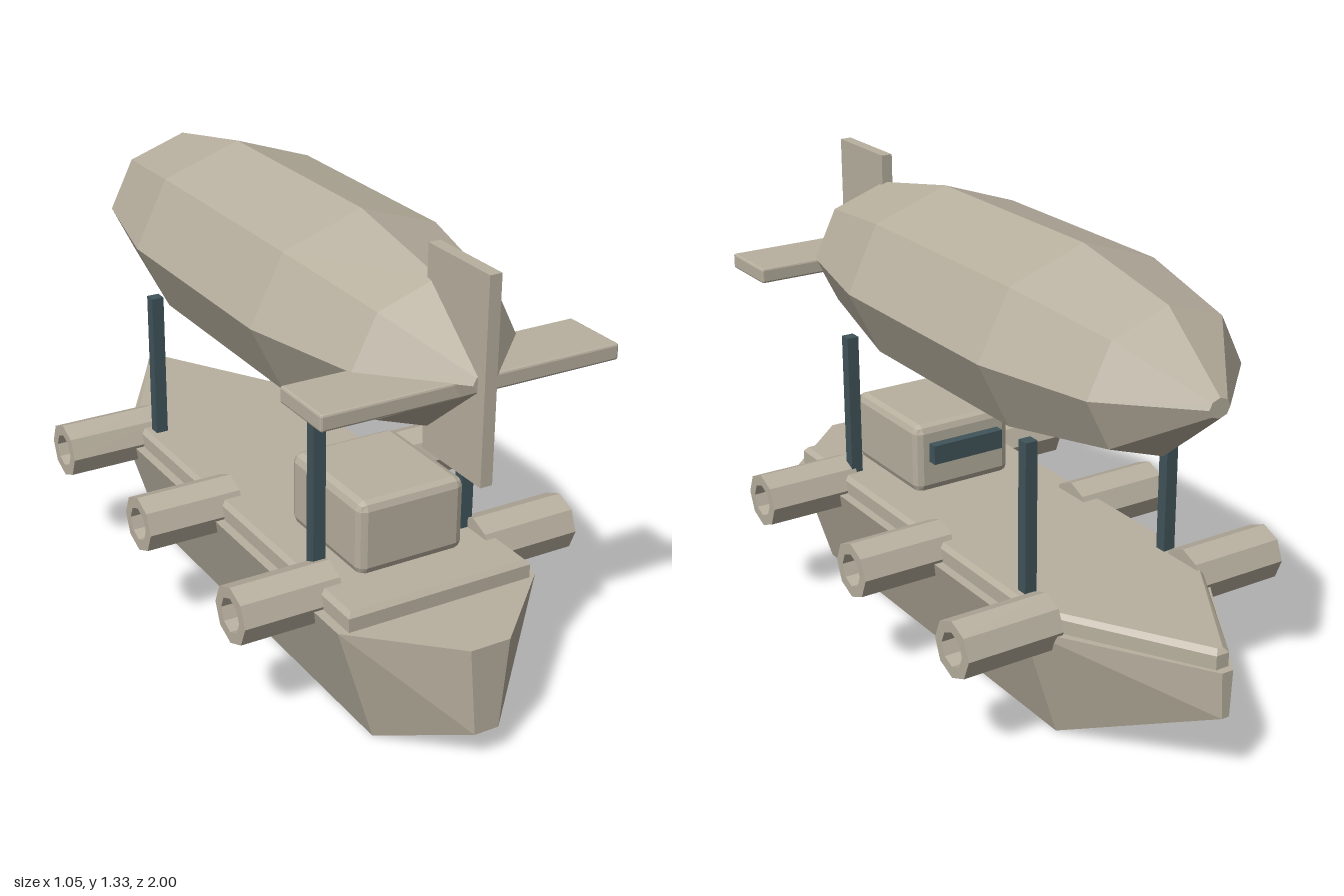
import * as THREE from 'three';
import { ConvexGeometry } from 'three/addons/geometries/ConvexGeometry.js';
import { RoundedBoxGeometry } from 'three/addons/geometries/RoundedBoxGeometry.js';

// Faceted normals for every part
function facet(geometry) {
  const g = geometry.index ? geometry.toNonIndexed() : geometry;
  g.computeVertexNormals();
  return g;
}

// Eight-sided turned solid from [radius, height] pairs
const turned = (profile) =>
  new THREE.LatheGeometry(profile.map(([r, h]) => new THREE.Vector2(r, h)), 8);

export function createModel() {
  const model = new THREE.Group();
  model.name = 'airship';
  const paint = new THREE.MeshStandardMaterial({ color: 0xb8b09f });
  paint.name = 'warm grey paint';
  const steel = new THREE.MeshStandardMaterial({ color: 0x40545a });
  steel.name = 'dark blue steel';
  const CX = -0.01; // shared centre line of hull and balloon

  function add(name, geometry, material, x = 0, y = 0, z = 0) {
    const mesh = new THREE.Mesh(facet(geometry), material);
    mesh.name = name;
    mesh.position.set(x, y, z);
    model.add(mesh);
    return mesh;
  }

  // Hull: mirrored stations [z, half width at top, half width at bottom, bottom height]
  const hull = [];
  for (const [z, top, bottom, y] of [
    [1, 0.06, 0.037, 0.09],
    [0.765, 0.31, 0.2, 0],
    [-0.53, 0.31, 0.2, 0],
    [-1, 0.018, 0.012, 0.215],
  ]) {
    for (const s of [-1, 1]) {
      hull.push(new THREE.Vector3(s * top, 0.35, z), new THREE.Vector3(s * bottom, y, z));
    }
  }
  add('hull', new ConvexGeometry(hull), paint, CX);

  // Deck: slab with a bevelled upper edge and pointed stern
  const deck = [];
  for (const [y, inset] of [[0.345, 0], [0.39, 0], [0.404, 0.012]]) {
    for (const [z, half] of [[0.775 - inset, 0.283], [-0.53, 0.283], [-0.978 + inset, 0.02]]) {
      for (const s of [-1, 1]) deck.push(new THREE.Vector3(s * (half - inset), y, z));
    }
  }
  add('deck', new ConvexGeometry(deck), paint, CX);

  // Cabin with chamfered corners and a window facing the stern
  add('cabin', new RoundedBoxGeometry(0.33, 0.217, 0.37, 1, 0.025), paint, CX, 0.508, 0.445);
  add('cabinWindow', new THREE.BoxGeometry(0.24, 0.06, 0.04), steel, CX, 0.53, 0.25);

  // Balloon
  const balloon = turned([
    [0, -0.92], [0.1, -0.92], [0.745, -0.708], [1, -0.345],
    [1, 0.345], [0.745, 0.708], [0.1, 0.92], [0, 0.92],
  ]);
  balloon.rotateX(Math.PI / 2).scale(0.33, 0.273, 1);
  add('balloon', balloon, paint, CX, 1.043, 0);

  // Tail fins
  add('verticalFin', new THREE.BoxGeometry(0.035, 0.556, 0.26), paint, -0.012, 1.056, 0.82);
  add('horizontalFin', new RoundedBoxGeometry(0.87, 0.045, 0.198, 1, 0.006), paint, CX, 1.022, 0.789);

  // Struts and cannons on both sides
  const barrel = [[0, 0], [0.083, 0], [0.083, 0.295], [0.05, 0.295], [0.05, 0.2], [0, 0.2]];
  for (const [side, s] of [['left', 1], ['right', -1]]) {
    for (const z of [0.523, -0.438]) {
      add(`${side}Strut`, new THREE.BoxGeometry(0.037, 0.475, 0.035), steel, CX + s * 0.235, 0.607, z);
    }
    for (const z of [0.565, 0.003, -0.535]) {
      const cannon = turned(barrel).rotateZ(-s * Math.PI / 2);
      add(`${side}Cannon`, cannon, paint, s * 0.23, 0.36, z);
    }
  }
  return model;
}
